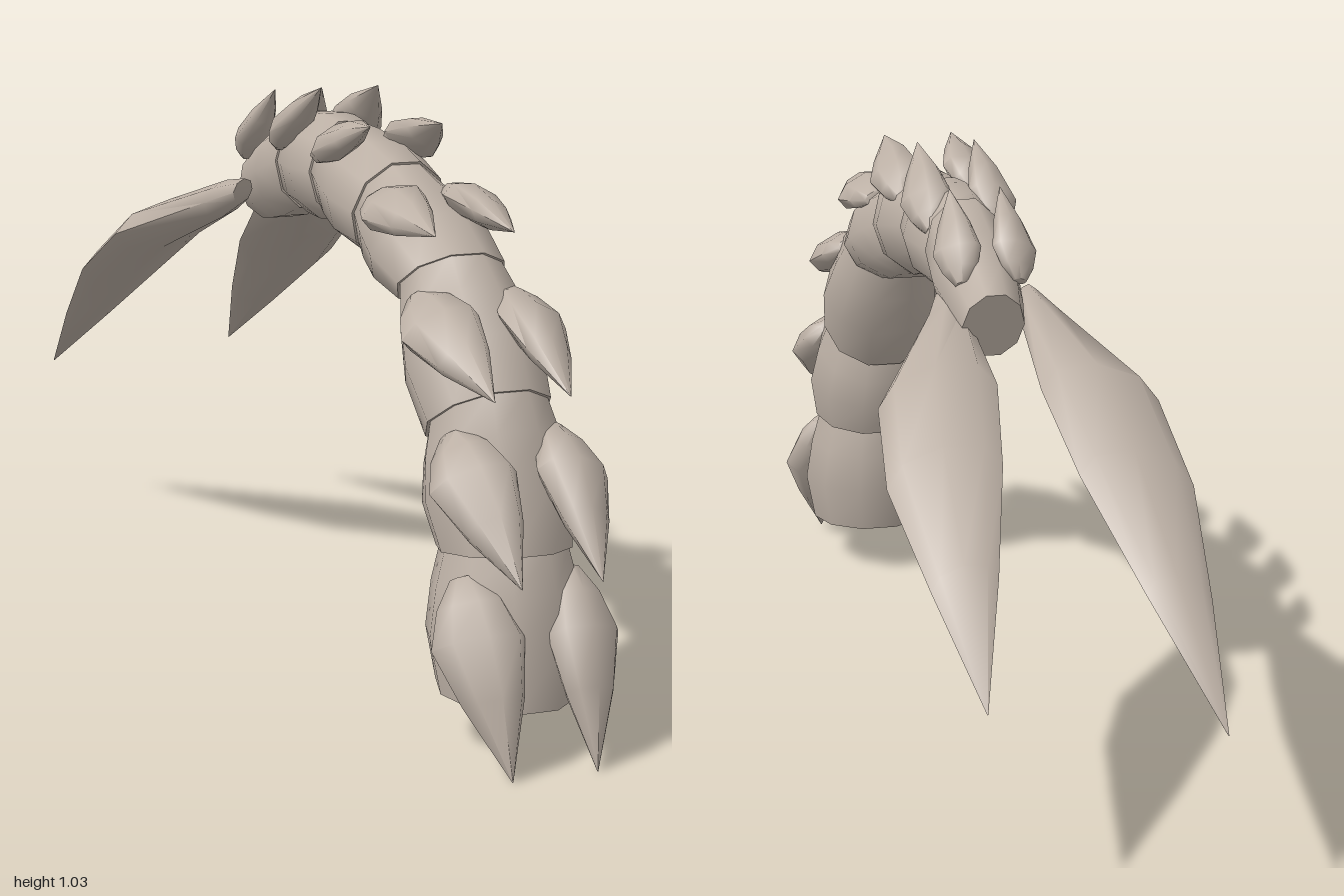
import * as THREE from 'three';
import { toCreasedNormals } from 'three/addons/utils/BufferGeometryUtils.js';

const V = (x, y, z) => new THREE.Vector3(x, y, z);
const hide = new THREE.MeshStandardMaterial({ color: 0xbcb0a5 });
hide.name = 'pale hide';

// Skin a list of rings; each ring is {c, w, n}: centre, half-width vector, half-depth vector.
function loft(rings, sides, crease) {
  const pos = [], idx = [];
  rings.forEach(({ c, w, n }) => {
    for (let j = 0; j < sides; j++) {
      const a = (j / sides) * Math.PI * 2;
      const p = c.clone().addScaledVector(w, Math.cos(a)).addScaledVector(n, Math.sin(a));
      pos.push(p.x, p.y, p.z);
    }
  });
  for (let i = 0; i < rings.length - 1; i++) {
    for (let j = 0; j < sides; j++) {
      const k = (j + 1) % sides, a = i * sides, b = a + sides;
      idx.push(a + j, a + k, b + k, a + j, b + k, b + j);
    }
  }
  // end caps
  const last = (rings.length - 1) * sides;
  for (let j = 1; j < sides - 1; j++) {
    idx.push(0, j + 1, j, last, last + j, last + j + 1);
  }
  const g = new THREE.BufferGeometry();
  g.setAttribute('position', new THREE.Float32BufferAttribute(pos, 3));
  g.setIndex(idx);
  return toCreasedNormals(g, crease);
}

function add(group, name, geometry) {
  const m = new THREE.Mesh(geometry, hide);
  m.name = name;
  group.add(m);
}

// Joints along the arc: x centre, half-width, outer z/y, inner z/y
const joints = [
  [0.065, 0.118, 0.91, 0.085, 0.65, 0.10],
  [0.067, 0.112, 0.88, 0.34, 0.635, 0.315],
  [0.06, 0.108, 0.80, 0.60, 0.605, 0.47],
  [0.05, 0.097, 0.64, 0.80, 0.495, 0.685],
  [0.035, 0.087, 0.405, 0.925, 0.335, 0.74],
  [0.025, 0.08, 0.17, 0.97, 0.165, 0.785],
  [0.018, 0.073, 0.0, 0.97, -0.015, 0.78],
  [0.015, 0.06, -0.265, 0.865, -0.22, 0.73],
];
// Barrel shape of each segment: position along, width factor, depth factor
const barrel = [[0, 1, 1], [0.4, 1.17, 1.08], [0.75, 1.08, 1.04], [1.02, 0.94, 0.95]];

function jointRing(a, b, [t, sw, sd]) {
  const [x, w, oz, oy, iz, iy] = a.map((v, i) => v + (b[i] - v) * t);
  return {
    c: V(x, (oy + iy) / 2, (oz + iz) / 2),
    w: V(w * sw, 0, 0),
    n: V(0, (iy - oy) / 2, (iz - oz) / 2).multiplyScalar(sd),
  };
}

// Scale rows: x centre, tip offset, body offset, half-width, thickness, root z/y, tip z/y
const rows = [
  [0.065, 0.075, 0.093, 0.074, 0.052, 0.81, 0.295, 0.975, 0.0],
  [0.06, 0.070, 0.088, 0.070, 0.046, 0.76, 0.52, 1.0, 0.325],
  [0.05, 0.066, 0.082, 0.065, 0.038, 0.62, 0.725, 0.90, 0.605],
  [0.035, 0.070, 0.073, 0.057, 0.034, 0.44, 0.865, 0.70, 0.84],
  [0.018, 0.066, 0.070, 0.050, 0.032, 0.23, 0.915, 0.445, 0.99],
  [0.012, 0.054, 0.062, 0.047, 0.032, 0.01, 0.905, 0.195, 1.03],
  [0.010, 0.046, 0.052, 0.042, 0.028, -0.20, 0.86, -0.06, 1.0],
];
// Leaf outline: position along, width, thickness
const leaf = [[0, 0.3, 0.35], [0.14, 0.72, 0.75], [0.33, 1, 1], [0.62, 0.66, 0.78], [1, 0.01, 0.01]];

function scaleGeometry([cx, tipX, midX, hw, th, rz, ry, tz, ty], side) {
  const along = V(0, ty - ry, tz - rz).normalize();
  const out = along.clone().cross(V(1, 0, 0)); // away from the body
  const rings = leaf.map(([t, w, h]) => {
    const x = cx + side * (t < 0.4 ? midX : midX + (tipX - midX) * (t - 0.33) / 0.67);
    const c = V(x, ry + (ty - ry) * t, rz + (tz - rz) * t).addScaledVector(out, th * 0.2 * h);
    const roll = -side * 0.3; // outer edge wraps down around the body
    const wide = V(1, 0, 0).addScaledVector(out, roll).multiplyScalar(hw * w);
    const deep = out.clone().multiplyScalar(th * h);
    return { c, w: wide, n: deep };
  });
  return loft(rings, 8, 1.15);
}

// Tail blade stations: outer |x|, inner |x|, z, y, half-thickness
const bladeStations = [
  [0.098, 0.06, -0.12, 0.805, 0.025],
  [0.13, 0.045, -0.20, 0.78, 0.038],
  [0.245, 0.036, -0.40, 0.706, 0.05],
  [0.26, 0.062, -0.58, 0.608, 0.048],
  [0.238, 0.125, -0.78, 0.475, 0.03],
  [0.206, 0.204, -1.0, 0.322, 0.001],
];

function bladeGeometry(side) {
  const shrink = side > 0 ? 0.92 : 1; // left blade is slightly shorter
  const rings = bladeStations.map(([o, i, z, y, h]) => {
    const hw = (o - i) / 2;
    const shift = side > 0 ? -0.035 * Math.max(0, (-z - 0.58) / 0.42) : 0;
    return {
      c: V(side * ((o + i) / 2 + shift), 0.805 + (y - 0.805) * shrink, -0.12 + (z + 0.12) * shrink),
      w: V(hw, -side * hw * 0.15, 0),
      n: V(0, -h, -h * 0.4),
    };
  });
  return loft(rings, 8, 1.15);
}

export function createModel() {
  const model = new THREE.Group();
  model.name = 'armouredTail';

  // Overlapping barrel segments of the arc
  for (let i = 0; i < joints.length - 1; i++) {
    const rings = barrel.map((b) => jointRing(joints[i], joints[i + 1], b));
    add(model, 'segment' + (i + 1), loft(rings, 10, 0.9));
  }

  // Paired scales and end blades
  for (const side of [1, -1]) {
    const label = side > 0 ? 'left' : 'right';
    rows.forEach((r, i) => add(model, label + 'Scale' + (i + 1), scaleGeometry(r, side)));
    add(model, label + 'Blade', bladeGeometry(side));
  }
  return model;
}
